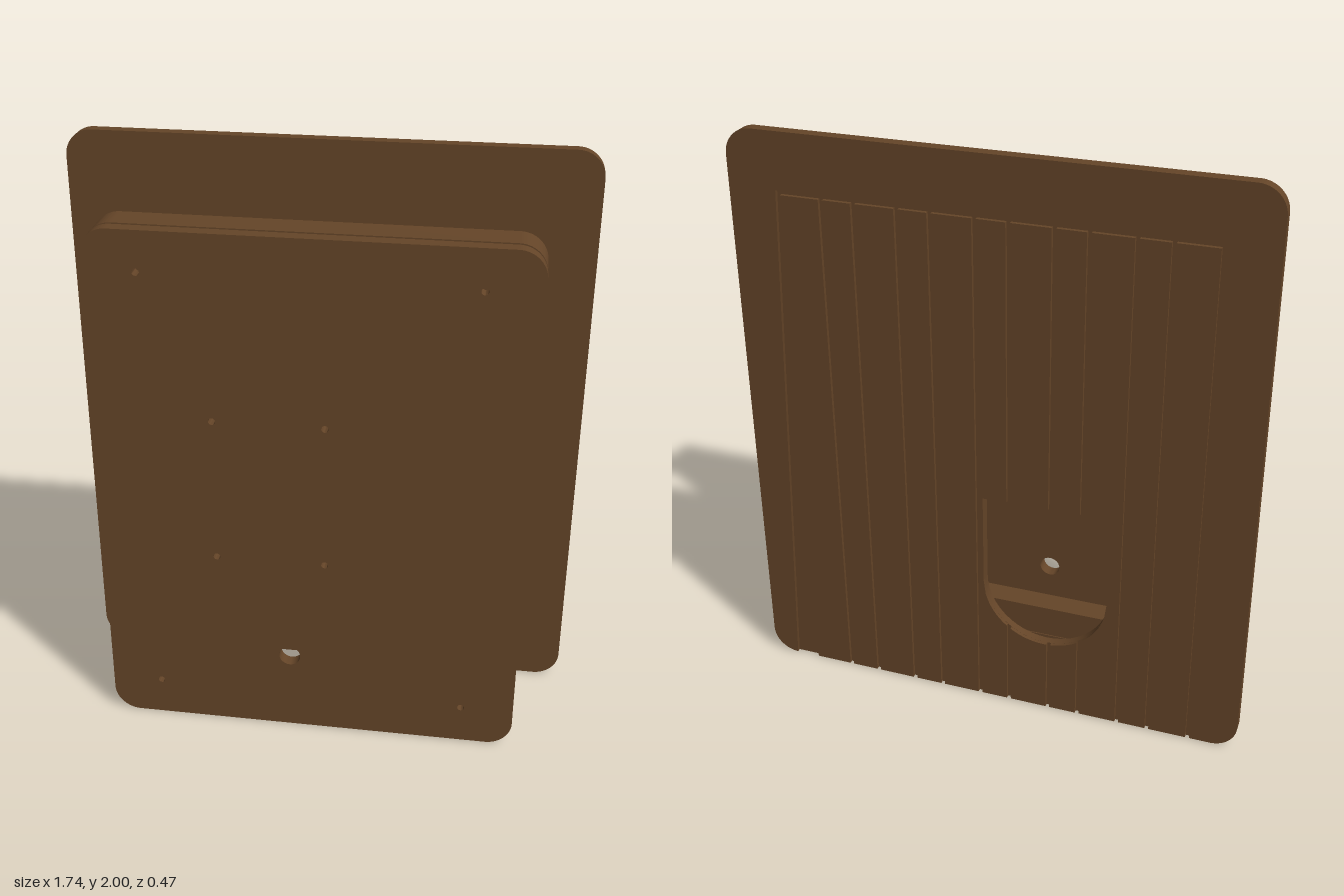
import * as THREE from 'three';
import { toCreasedNormals } from 'three/addons/utils/BufferGeometryUtils.js';

const material = new THREE.MeshStandardMaterial({ color: 0x654528 });

// Rounded rectangle; corner radii for bottom and top can differ
function roundRect(target, x0, y0, x1, y1, rb, rt = rb) {
  const q = Math.PI / 2;
  target.moveTo(x0 + rb, y0);
  target.lineTo(x1 - rb, y0);
  if (rb) target.absarc(x1 - rb, y0 + rb, rb, -q, 0);
  target.lineTo(x1, y1 - rt);
  if (rt) target.absarc(x1 - rt, y1 - rt, rt, 0, q);
  target.lineTo(x0 + rt, y1);
  if (rt) target.absarc(x0 + rt, y1 - rt, rt, q, 2 * q);
  target.lineTo(x0, y0 + rb);
  if (rb) target.absarc(x0 + rb, y0 + rb, rb, 2 * q, 3 * q);
  return target;
}

function circle(x, y, r) {
  return new THREE.Path().absarc(x, y, r, 0, Math.PI * 2, true);
}

export function createModel() {
  const model = new THREE.Group();

  // Extrude a shape between two z positions
  function slab(name, shape, z0, z1, parent = model) {
    const geo = new THREE.ExtrudeGeometry(shape, { depth: z1 - z0, bevelEnabled: false, curveSegments: 12 });
    geo.translate(0, 0, z0);
    const mesh = new THREE.Mesh(toCreasedNormals(geo, 0.6), material);
    mesh.name = name;
    parent.add(mesh);
  }

  function box(name, x0, x1, y0, y1, z0, z1) {
    const mesh = new THREE.Mesh(new THREE.BoxGeometry(x1 - x0, y1 - y0, z1 - z0), material);
    mesh.position.set((x0 + x1) / 2, (y0 + y1) / 2, (z0 + z1) / 2);
    mesh.name = name;
    model.add(mesh);
  }

  // Front panel with screw holes and one cable hole
  const panel = roundRect(new THREE.Shape(), -0.71, 0, 0.71, 1.82, 0.09);
  for (const [xs, ys] of [[[-0.535, 0.53], [0.14, 1.685]], [[-0.315, 0.052], [0.68, 1.19]]])
    for (const x of xs) for (const y of ys) panel.holes.push(circle(x, y, 0.012));
  panel.holes.push(circle(-0.07, 0.295, 0.037));
  slab('frontPanel', panel, 0.19, 0.235);

  // Rim behind the panel, with a fine groove along its top edge
  const cavity = () => roundRect(new THREE.Path(), -0.64, 0.07, 0.64, 1.75, 0.02);
  const rim = roundRect(new THREE.Shape(), -0.71, 0, 0.71, 1.82, 0.09);
  rim.holes.push(cavity());
  slab('panelRim', rim, 0.07, 0.178);
  const neck = roundRect(new THREE.Shape(), -0.71, 0, 0.71, 1.811, 0.09);
  neck.holes.push(cavity());
  slab('rimGroove', neck, 0.178, 0.19);

  // Side posts with rounded outer corners
  for (const side of [1, -1]) {
    const post = new THREE.Shape();
    const q = Math.PI / 2;
    if (side > 0) {
      post.moveTo(0.35, 0.285);
      post.absarc(0.4, 0.375, 0.09, -q, 0);
      post.absarc(0.4, 1.445, 0.09, 0, q);
      post.lineTo(0.35, 1.535);
    } else {
      post.moveTo(-0.35, 1.535);
      post.absarc(-0.4, 1.445, 0.09, q, 2 * q);
      post.absarc(-0.4, 0.375, 0.09, 2 * q, 3 * q);
      post.lineTo(-0.35, 0.285);
    }
    slab(side > 0 ? 'leftPost' : 'rightPost', post, -0.115, 0.19);
  }

  // Crossbars joining the posts to the back plate
  slab('lowerCrossbar', roundRect(new THREE.Shape(), -0.49, 0.285, 0.49, 0.395, 0.09, 0), -0.195, -0.115);
  box('upperCrossbar', -0.35, 0.385, 1.13, 1.275, -0.195, -0.16);
  box('upperCrossbarLeftEnd', 0.385, 0.49, 1.13, 1.275, -0.195, -0.115);
  box('upperCrossbarRightEnd', -0.49, -0.35, 1.13, 1.275, -0.195, -0.115);

  // Back plate core with the arched opening
  const W = 0.87, r = 0.09, q = Math.PI / 2;
  const back = -0.235, core = -0.222;
  const ox = -0.182, oy = 0.49, orad = 0.218, otop = 0.82;
  const plate = roundRect(new THREE.Shape(), -W, 0, W, 2, r);
  const opening = new THREE.Path();
  opening.moveTo(ox - orad, otop);
  opening.absarc(ox, oy, orad, Math.PI, 2 * Math.PI);
  opening.lineTo(ox + orad, otop);
  plate.holes.push(opening);
  slab('backPlate', plate, core, -0.195);

  // Raised border around the planks
  const g = 0.007, edge = 0.702 + g, top = 1.81;
  const border = new THREE.Shape();
  border.moveTo(edge, 0);
  border.absarc(W - r, r, r, -q, 0);
  border.absarc(W - r, 2 - r, r, 0, q);
  border.absarc(-W + r, 2 - r, r, q, 2 * q);
  border.absarc(-W + r, r, r, 2 * q, 3 * q);
  border.lineTo(-edge, 0);
  border.lineTo(-edge, top);
  border.lineTo(edge, top);
  slab('backBorder', border, back, core);

  // Planks of alternating width, cut away at the opening
  const planks = new THREE.Group();
  planks.name = 'backPlanks';
  model.add(planks);
  const rect = (a, b, y0, y1) => roundRect(new THREE.Shape(), a, y0, b, y1, 0);
  function plank(a, b) {
    const l = ox - orad, h = ox + orad, yTop = top - 2 * g;
    if (b <= l || a >= h) return slab('plank', rect(a, b, 0, yTop), back, core, planks);
    if (a < l) { plank(a, l); a = l; }
    if (b > h) { plank(h, b); b = h; }
    slab('plankAboveOpening', rect(a, b, otop, yTop), back, core, planks);
    const below = new THREE.Shape();
    below.moveTo(a, 0);
    below.lineTo(b, 0);
    for (let i = 0; i <= 12; i++) {
      const x = b + (a - b) * i / 12;
      below.lineTo(x, oy - Math.sqrt(Math.max(0, orad * orad - (x - ox) ** 2)));
    }
    slab('plankBelowOpening', below, back, core, planks);
  }
  let x = -0.702;
  for (let i = 0; i < 11; i++) {
    const next = x + (i % 2 ? 0.108 : 0.144);
    plank(x + g, next - g);
    x = next;
  }

  return model;
}
